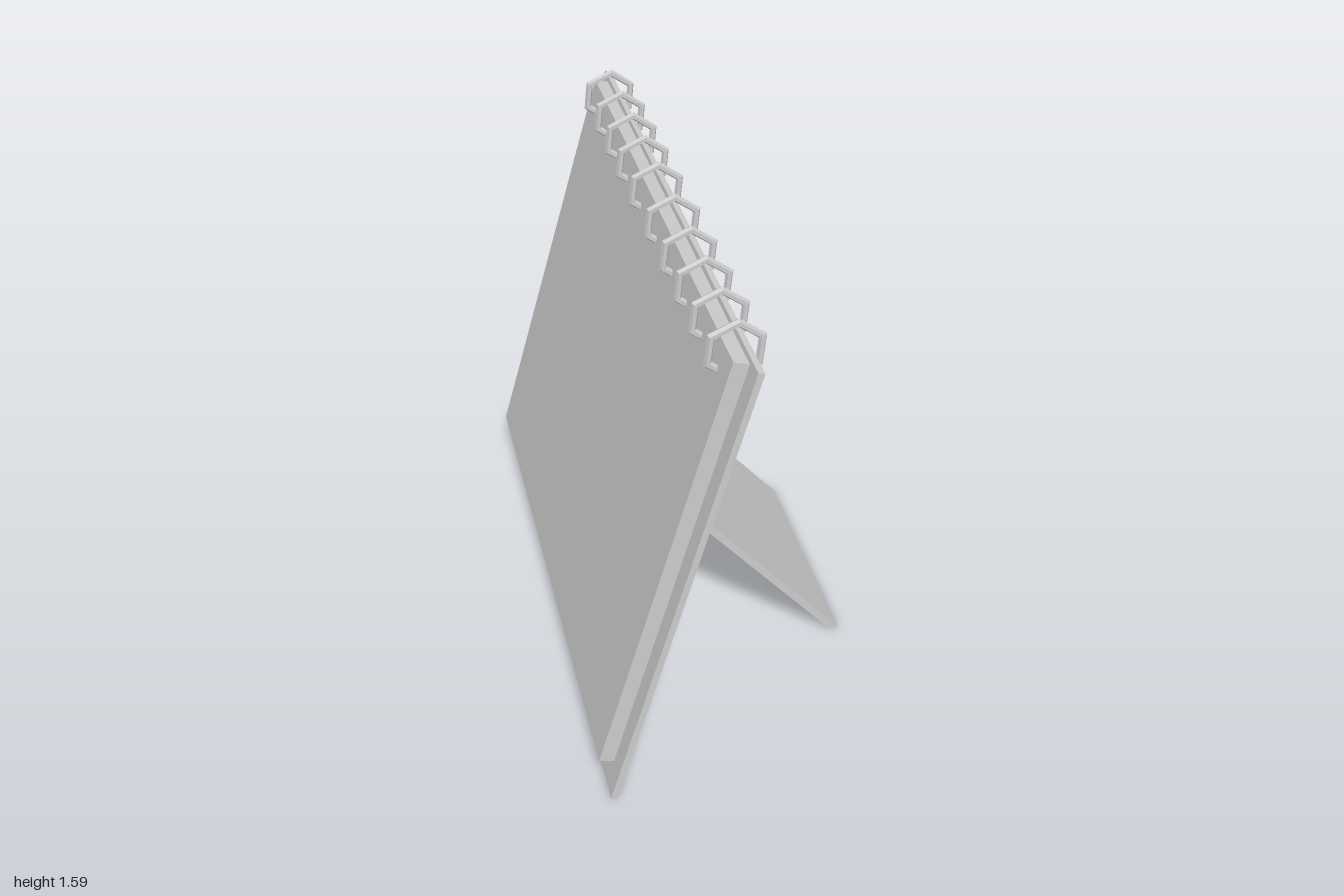
import * as THREE from 'three';

const TILT = THREE.MathUtils.degToRad(15);
const CENTRE = 0.028;

export function createModel() {
  const model = new THREE.Group();
  model.name = 'deskCalendar';
  const mat = new THREE.MeshStandardMaterial({ color: 0xcccccc, flatShading: true });

  // everything is laid out square, then the whole calendar is turned
  const body = new THREE.Group();
  body.name = 'calendarBody';
  body.rotation.y = THREE.MathUtils.degToRad(-29);
  model.add(body);

  const add = (parent, name, geometry, x = 0, y = 0, z = 0) => {
    const mesh = new THREE.Mesh(geometry, mat);
    mesh.name = name;
    mesh.position.set(x, y, z);
    parent.add(mesh);
    return mesh;
  };

  // leaning panel: backing board with the page block in front
  const panel = new THREE.Group();
  panel.name = 'leaningPanel';
  panel.position.set(CENTRE, 0, 0.25);
  panel.rotation.x = -TILT;
  body.add(panel);

  const slab = (name, width, bottom, top, back, front) =>
    add(panel, name, new THREE.BoxGeometry(width, top - bottom, front - back),
      0, (bottom + top) / 2, (back + front) / 2);
  slab('backingBoard', 2.046, 0, 1.56, 0, 0.02);
  slab('pageBlock', 1.91, 0.09, 1.545, 0.02, 0.068);

  // support leg: side section (z, y) swept across its width
  const section = new THREE.Shape([
    [0.045, 0.785], [-0.66, 0], [-0.626, 0], [0.05, 0.753],
  ].map(([z, y]) => new THREE.Vector2(z, y)));
  const legWidth = 0.8;
  const leg = new THREE.ExtrudeGeometry(section, { depth: legWidth, bevelEnabled: false });
  leg.rotateY(-Math.PI / 2);
  add(body, 'supportLeg', leg, CENTRE + 0.005 + legWidth / 2);

  // six-sided binding rings through the top edge
  const ring = new THREE.TorusGeometry(0.085, 0.013, 6, 6);
  ring.rotateZ(THREE.MathUtils.degToRad(35));
  ring.rotateY(-Math.PI / 2);
  const ringX = [-0.83, -0.645, -0.465, -0.285, -0.085, 0.14, 0.35, 0.533, 0.713, 0.888];
  ringX.forEach((x, i) => add(body, `bindingRing${i + 1}`, ring, x, 1.488, -0.115));

  return model;
}
